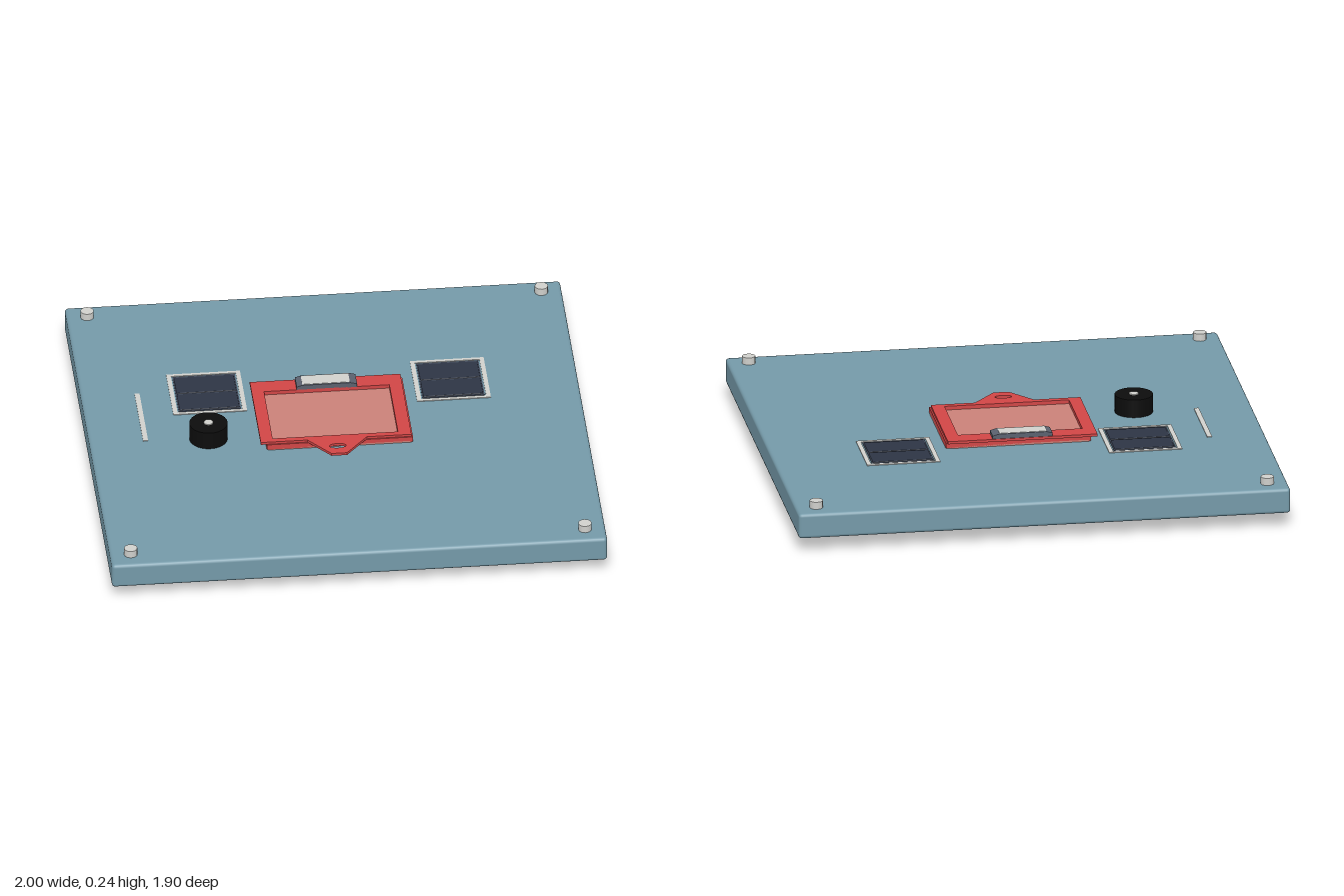
import * as THREE from 'three';
import { RoundedBoxGeometry } from 'three/addons/geometries/RoundedBoxGeometry.js';

const colours = {
  panelBlue: 0x7499a8, red: 0xd04646, pink: 0xca8178, lightGrey: 0xd0d0cc,
  navy: 0x2d3545, navyEdge: 0x434b5c, grey: 0x5b616e, black: 0x0c0c0c,
};
const mats = {};

function add(parent, name, geometry, mat, x = 0, y = 0, z = 0) {
  const mesh = new THREE.Mesh(geometry, mats[mat]);
  mesh.name = name;
  mesh.position.set(x, y, z);
  parent.add(mesh);
  return mesh;
}

// Box given by its limits; r rounds the edges
function block(parent, name, mat, [x0, x1], [y0, y1], [z0, z1], r = 0) {
  const s = [x1 - x0, y1 - y0, z1 - z0];
  const geo = r ? new RoundedBoxGeometry(...s, 2, r) : new THREE.BoxGeometry(...s);
  return add(parent, name, geo, mat, (x0 + x1) / 2, (y0 + y1) / 2, (z0 + z1) / 2);
}

// Closed outline from [x, z] points
function outline(points, Type = THREE.Shape) {
  return new Type(points.map(([x, z]) => new THREE.Vector2(x, -z)));
}
const rect = (x0, x1, z0, z1) => [[x0, z1], [x1, z1], [x1, z0], [x0, z0]];

// Flat slab standing on y0, drawn in plan
function slab(parent, name, mat, shape, y0, depth) {
  const geo = new THREE.ExtrudeGeometry(shape, { depth, bevelEnabled: false, curveSegments: 16 });
  geo.rotateX(-Math.PI / 2);
  return add(parent, name, geo, mat, 0, y0, 0);
}

function addSwitch(parent, cx, name) {
  const g = new THREE.Group();
  g.name = name;
  parent.add(g);
  const bezel = outline(rect(cx - 0.149, cx + 0.149, -0.417, -0.123));
  bezel.holes.push(outline(rect(cx - 0.131, cx + 0.131, -0.402, -0.138), THREE.Path));
  slab(g, 'bezel', 'lightGrey', bezel, 0.162, 0.006);
  block(g, 'switchBody', 'navy', [cx - 0.126, cx + 0.126], [0.052, 0.167], [-0.397, -0.143], 0.012);
  block(g, 'switchSurround', 'navyEdge', [cx - 0.126, cx + 0.126], [0.16, 0.1675], [-0.397, -0.143]);
  for (const z of [-0.331, -0.209]) {
    block(g, 'rocker', 'navy', [cx - 0.121, cx + 0.121], [0.16, 0.17], [z - 0.058, z + 0.058], 0.004);
  }
}

export function createModel() {
  for (const [name, color] of Object.entries(colours)) {
    mats[name] = new THREE.MeshStandardMaterial({ color });
    mats[name].name = name;
  }
  const model = new THREE.Group();
  model.name = 'controlPanel';

  block(model, 'panel', 'panelBlue', [-1, 1], [0.06, 0.165], [-0.952, 0.952], 0.014);

  // Corner screws
  for (const x of [-0.917, 0.917]) for (const z of [-0.873, 0.873]) {
    add(model, 'cornerScrew', new THREE.CylinderGeometry(0.027, 0.027, 0.05, 12), 'lightGrey', x, 0.17, z);
  }

  addSwitch(model, -0.495, 'rightSwitch');
  addSwitch(model, 0.489, 'leftSwitch');
  block(model, 'markerLine', 'lightGrey', [-0.784, -0.764], [0.162, 0.168], [-0.292, 0.055]);

  // Knob with a light centre
  const knob = new THREE.Group();
  knob.name = 'knob';
  knob.position.set(-0.521, 0, 0.06);
  model.add(knob);
  add(knob, 'knobBody', new THREE.CylinderGeometry(0.077, 0.077, 0.077, 28), 'black', 0, 0.2015, 0);
  add(knob, 'knobCap', new THREE.CylinderGeometry(0.019, 0.019, 0.006, 16), 'lightGrey', 0, 0.241, 0);

  // Box let into the panel, with its red rim
  const box = new THREE.Group();
  box.name = 'insetBox';
  model.add(box);
  block(box, 'boxBody', 'pink', [-0.296, 0.294], [0, 0.184], [-0.266, 0.17], 0.012);
  const rim = outline(rect(-0.296, 0.294, -0.266, 0.17));
  rim.holes.push(outline(rect(-0.27, 0.236, -0.205, 0.14), THREE.Path));
  slab(box, 'boxRim', 'red', rim, 0.168, 0.022);

  // Lid frame with pull tab and slot
  const lid = outline([
    [-0.32, 0.165], [-0.132, 0.165], [-0.045, 0.273], [0.017, 0.273], [0.108, 0.165],
    [0.288, 0.165], [0.288, -0.28], [-0.32, -0.28],
  ]);
  lid.holes.push(outline(rect(-0.27, 0.236, -0.205, 0.14), THREE.Path));
  const slot = new THREE.Path();
  slot.absellipse(-0.015, -0.218, 0.034, 0.016, 0, Math.PI * 2, true);
  lid.holes.push(slot);
  slab(box, 'lidFrame', 'red', lid, 0.189, 0.011);

  // Latch with sloped ends and a light top plate
  const profile = new THREE.Shape([
    [-0.138, 0.198], [0.106, 0.198], [0.106, 0.213], [0.079, 0.22], [-0.115, 0.22], [-0.138, 0.213],
  ].map(([x, y]) => new THREE.Vector2(x, y)));
  add(box, 'latch', new THREE.ExtrudeGeometry(profile, { depth: 0.072, bevelEnabled: false }), 'grey', 0, 0, -0.277);
  block(box, 'latchTop', 'lightGrey', [-0.115, 0.077], [0.216, 0.2215], [-0.272, -0.21]);

  return model;
}
